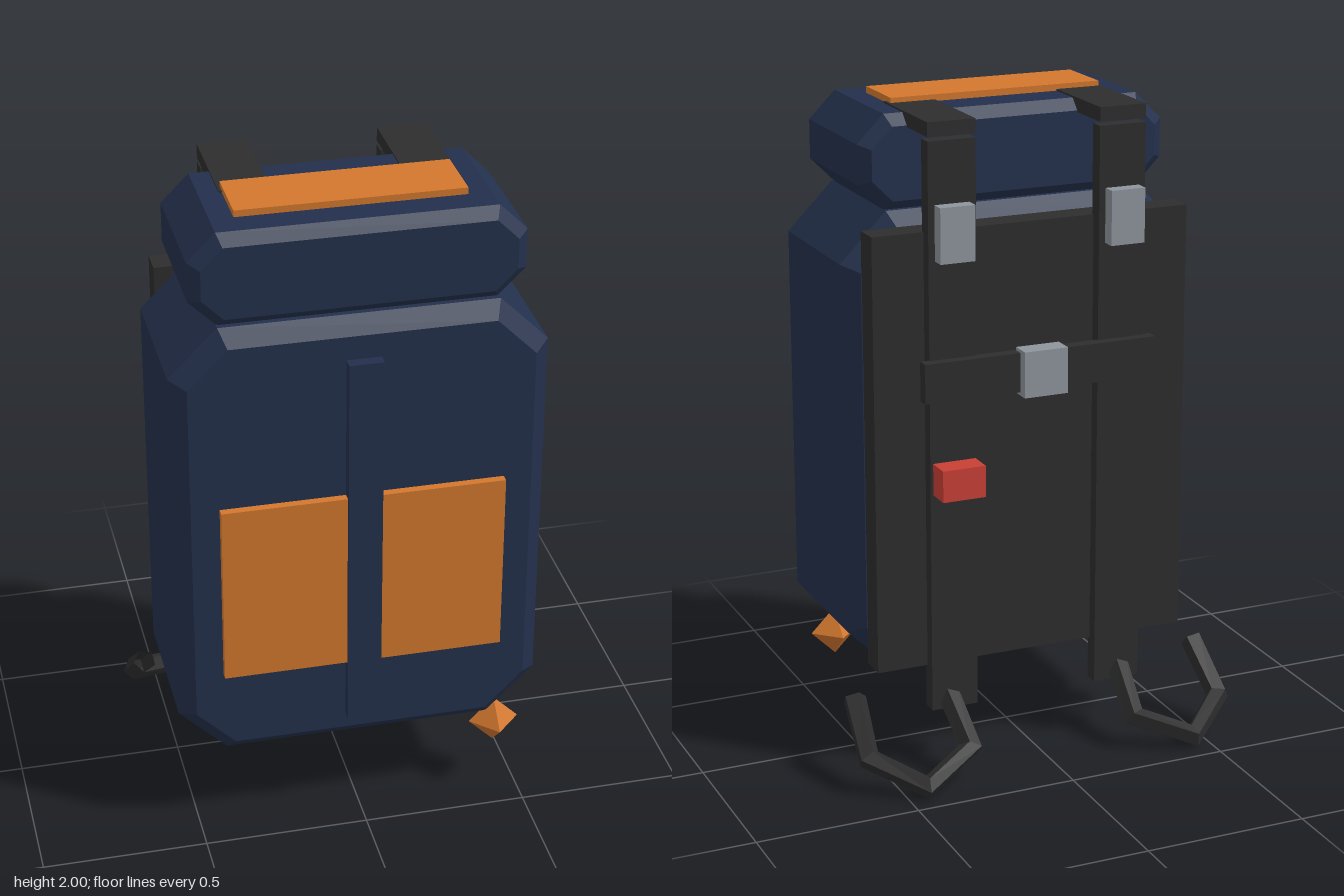
import * as THREE from 'three';

const mat = (name, color) => {
  const m = new THREE.MeshStandardMaterial({ color, flatShading: true });
  m.name = name;
  return m;
};

export function createModel() {
  const navy = mat('navy fabric', 0x23304c);
  const orange = mat('orange fabric', 0xd2772e);
  const charcoal = mat('charcoal webbing', 0x2d2d2d);
  const grey = mat('grey buckle', 0x8e959d);
  const red = mat('red whistle', 0xc94035);
  charcoal.side = THREE.DoubleSide; // the strap tails are open tubes

  const pack = new THREE.Group();
  pack.name = 'backpack';

  const add = (name, geometry, material) => {
    const mesh = new THREE.Mesh(geometry, material);
    mesh.name = name;
    pack.add(mesh);
    return mesh;
  };

  // Box given by its [min, max] range on each axis
  const box = (name, material, [x0, x1], [y0, y1], [z0, z1]) =>
    add(name, new THREE.BoxGeometry(x1 - x0, y1 - y0, z1 - z0), material)
      .position.set((x0 + x1) / 2, (y0 + y1) / 2, (z0 + z1) / 2);

  // Block with cut corners and a single bevel on its front and back rims
  const cutBlock = (name, halfWidth, [y0, y1], [z0, z1], cut, bevel) => {
    const w = halfWidth - bevel;
    const h = (y1 - y0) / 2 - bevel;
    const c = cut - bevel * (2 - Math.SQRT2);
    const shape = new THREE.Shape([
      [w - c, -h], [w, c - h], [w, h - c], [w - c, h],
      [c - w, h], [-w, h - c], [-w, c - h], [c - w, -h],
    ].map(([x, y]) => new THREE.Vector2(x, y)));
    const geometry = new THREE.ExtrudeGeometry(shape, {
      depth: z1 - z0 - 2 * bevel, bevelEnabled: true,
      bevelThickness: bevel, bevelSize: bevel, bevelSegments: 1,
    });
    geometry.translate(0, (y0 + y1) / 2, z0 + bevel);
    add(name, geometry, navy);
  };

  // Main bag and lid
  cutBlock('body', 0.553, [0.27, 1.7], [-0.113, 0.425], 0.145, 0.047);
  cutBlock('lid', 0.486, [1.695, 1.98], [-0.077, 0.388], 0.083, 0.033);

  // Coloured panels and the front spine
  box('lidPanel', orange, [-0.335, 0.335], [1.965, 2], [0.07, 0.27]);
  box('frontPocket', orange, [-0.422, 0.422], [0.57, 1.14], [0.41, 0.45]);
  box('frontSpine', navy, [-0.051, 0.051], [0.37, 1.58], [0.41, 0.46]);

  // Back board and chest strap
  box('backBoard', charcoal, [-0.503, 0.503], [0.32, 1.66], [-0.195, -0.11]);
  box('chestStrap', charcoal, [-0.37, 0.37], [1.165, 1.285], [-0.263, -0.225]);
  box('chestBuckle', grey, [-0.069, 0.069], [1.155, 1.295], [-0.295, -0.23]);
  box('whistle', red, [0.2, 0.335], [0.873, 0.97], [-0.308, -0.23]);

  // Shoulder straps with buckles and curled tails
  for (const s of [-1, 1]) {
    const side = s > 0 ? 'left' : 'right';
    const span = (half) => [s * 0.27 - half, s * 0.27 + half];
    box(side + 'Strap', charcoal, span(0.074), [0.185, 1.93], [-0.232, -0.185]);
    box(side + 'LidStrap', charcoal, span(0.074), [1.942, 1.985], [-0.232, 0.105]);
    box(side + 'StrapBuckle', grey, span(0.054), [1.58, 1.745], [-0.275, -0.23]);

    const path = new THREE.CatmullRomCurve3([
      [0.285, 0.23, -0.2], [0.275, 0.1, -0.36], [0.44, 0.04, -0.432],
      [0.585, 0.11, -0.315], [0.57, 0.24, -0.165],
    ].map(([x, y, z]) => new THREE.Vector3(s * x, y, z)));
    add(side + 'StrapTail', new THREE.TubeGeometry(path, 4, 0.036, 5), charcoal);
  }

  // Hanging charm
  add('charm', new THREE.OctahedronGeometry(0.078), orange).position.set(0.433, 0.233, 0.375);

  return pack;
}
